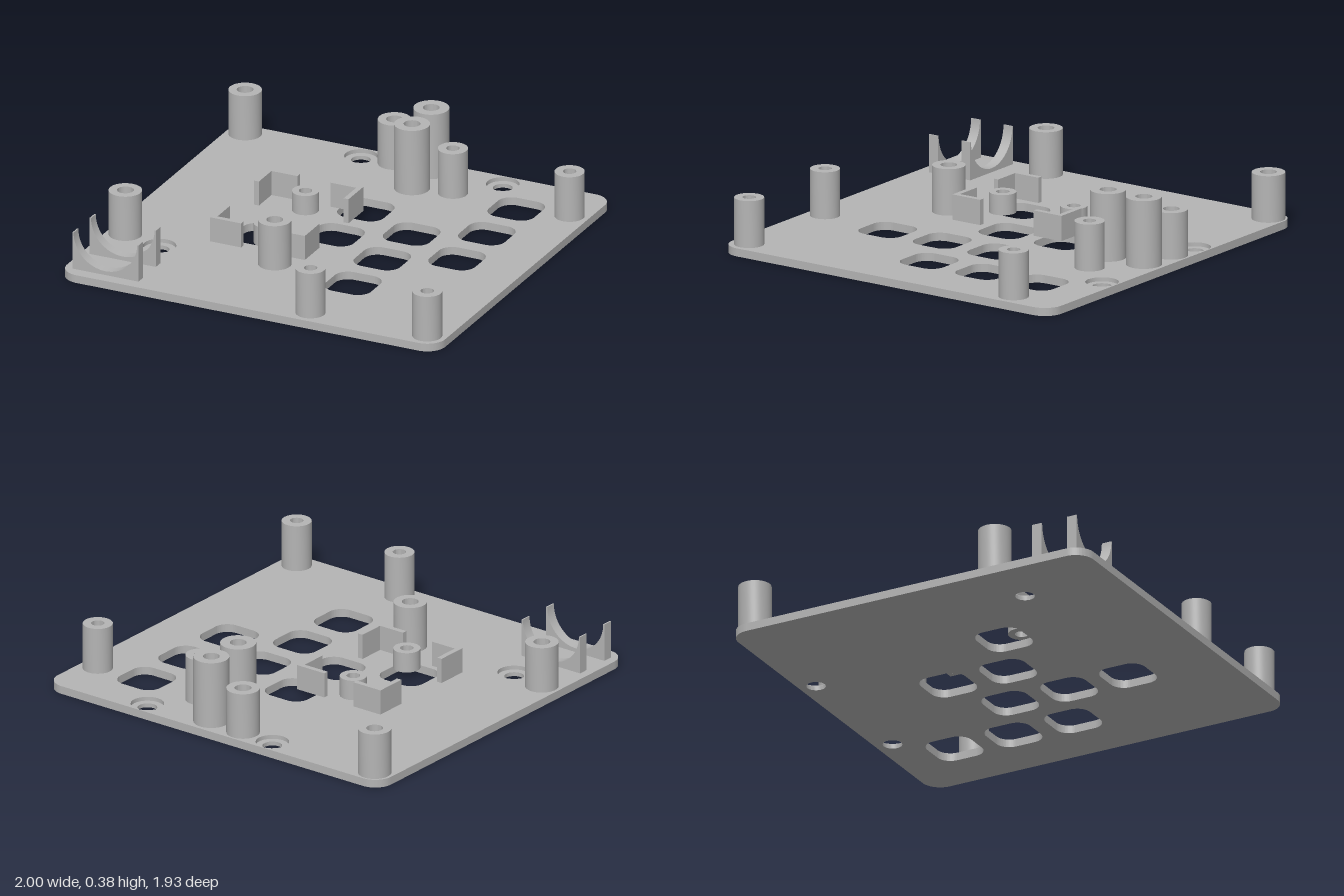
import * as THREE from 'three';
import { toCreasedNormals } from 'three/addons/utils/BufferGeometryUtils.js';

const PLATE = 0.04; // plate thickness
const CREASE = Math.PI / 5;

function roundedRect(target, cx, cz, w, d, r) {
  const x0 = cx - w / 2, x1 = cx + w / 2, y0 = -cz - d / 2, y1 = -cz + d / 2;
  target.moveTo(x0 + r, y0);
  target.lineTo(x1 - r, y0);
  target.absarc(x1 - r, y0 + r, r, -Math.PI / 2, 0, false);
  target.lineTo(x1, y1 - r);
  target.absarc(x1 - r, y1 - r, r, 0, Math.PI / 2, false);
  target.lineTo(x0 + r, y1);
  target.absarc(x0 + r, y1 - r, r, Math.PI / 2, Math.PI, false);
  target.lineTo(x0, y0 + r);
  target.absarc(x0 + r, y0 + r, r, Math.PI, Math.PI * 1.5, false);
  return target;
}

function extrude(shape, depth) {
  const geo = new THREE.ExtrudeGeometry(shape, { depth, bevelEnabled: false, curveSegments: 16 });
  return toCreasedNormals(geo, CREASE);
}

export function createModel() {
  const model = new THREE.Group();
  model.name = 'enclosurePanel';
  const grey = new THREE.MeshStandardMaterial({ color: 0xb4b4b4 });
  grey.name = 'plain grey';

  const add = (name, geo, x = 0, y = 0, z = 0) => {
    const mesh = new THREE.Mesh(geo, grey);
    mesh.name = name;
    mesh.position.set(x, y, z);
    model.add(mesh);
    return mesh;
  };

  // Base plate in two layers, so the screw holes are wider at the top
  const keyHoles = [
    [0.64, -0.645], [0.64, -0.325], [0.64, 0],
    [0.32, -0.165], [0.32, 0.155], [0.32, 0.475],
    [0, -0.325], [0, 0], [-0.32, 0.155],
  ];
  const screwHoles = [[-0.295, -0.88], [0.455, -0.88], [-0.7, 0.48]];
  const plateLayer = (name, y, depth, screwRadius) => {
    const shape = roundedRect(new THREE.Shape(), 0, 0, 2, 1.93, 0.095);
    for (const [x, z] of keyHoles) {
      shape.holes.push(roundedRect(new THREE.Path(), x, z, 0.24, 0.24, 0.07));
    }
    for (const [x, z] of screwHoles) {
      shape.holes.push(new THREE.Path().absarc(x, -z, screwRadius, 0, Math.PI * 2, true));
    }
    add(name, extrude(shape, depth).rotateX(-Math.PI / 2), 0, y, 0);
  };
  plateLayer('plateLower', 0, PLATE / 2, 0.047);
  plateLayer('plateUpper', PLATE / 2, PLATE / 2, 0.08);

  // Hollow screw posts: outer radius, bore radius, top height, places
  const post = (name, outer, bore, top, places) => {
    const h = top - PLATE;
    const profile = [[outer, 0], [outer, h], [bore, h], [bore, 0], [outer, 0]]
      .map(([x, y]) => new THREE.Vector2(x, y));
    const geo = toCreasedNormals(new THREE.LatheGeometry(profile, 40), CREASE);
    for (const [x, z] of places) add(name, geo, x, PLATE, z);
  };
  post('boardPost', 0.08, 0.04, 0.27, [[-0.905, -0.875], [-0.115, -0.875], [-0.905, 0.43], [-0.115, 0.43]]);
  post('tallPost', 0.086, 0.04, 0.375, [[0.087, -0.86], [0.087, -0.65]]);
  post('keyboardPost', 0.072, 0.032, 0.272, [[0.286, -0.685], [0.903, -0.685], [0.286, 0.867], [0.903, 0.867]]);
  post('shortPost', 0.065, 0.032, 0.14, [[-0.258, -0.2], [-0.258, 0.217]]);

  // Four L-shaped corner brackets
  const t = 0.026, arm = 0.163;
  for (const sx of [-1, 1]) {
    for (const sz of [-1, 1]) {
      const cx = -0.255 + sx * 0.25, cz = 0.01 + sz * 0.32;
      const points = [[0, 0], [arm, 0], [arm, t], [t, t], [t, arm], [0, arm]]
        .map(([u, v]) => new THREE.Vector2(-sx * u, sz * v));
      const geo = extrude(new THREE.Shape(points), 0.165 - PLATE).rotateX(-Math.PI / 2);
      add('cornerBracket', geo, cx, PLATE, cz);
    }
  }

  // Two cradle ribs with a half-round cut-out
  const rib = new THREE.Shape();
  rib.moveTo(-0.175, PLATE);
  rib.lineTo(0.175, PLATE);
  rib.lineTo(0.175, 0.228);
  rib.lineTo(0.168, 0.228);
  rib.absarc(0, 0.228, 0.168, 0, -Math.PI, true);
  rib.lineTo(-0.175, 0.228);
  rib.closePath();
  const ribGeo = extrude(rib, 0.052);
  for (const z of [0.66, 0.85]) add('cradleRib', ribGeo, -0.782, 0, z);

  return model;
}
